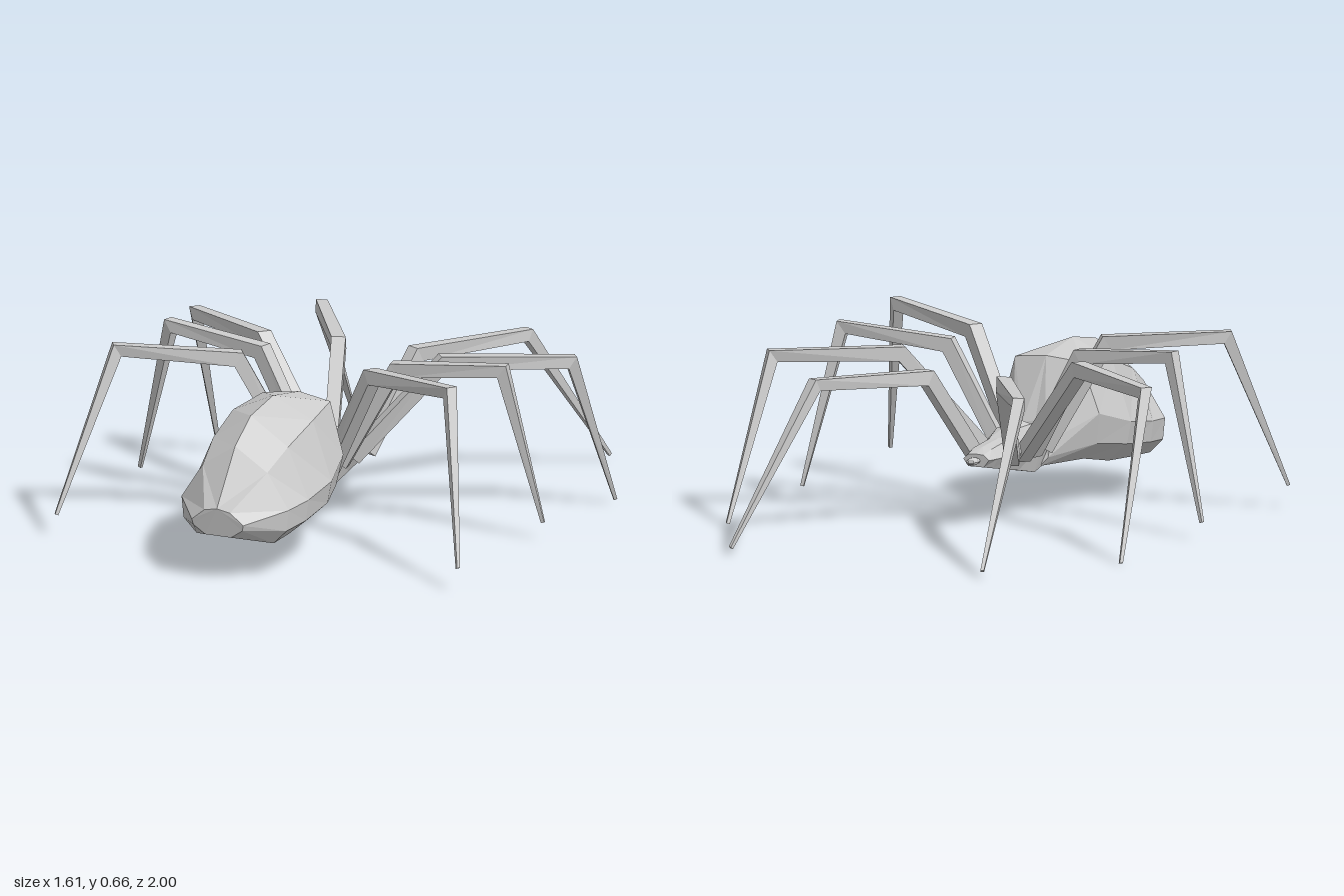
import * as THREE from 'three';

const material = new THREE.MeshStandardMaterial({ color: 0xcccccc, flatShading: true });

// Skin a list of closed rings (arrays of Vector3) and cap both ends.
function loft(name, rings) {
  const n = rings[0].length, last = rings.length - 1, pos = [];
  const tri = (...pts) => pts.forEach((p) => pos.push(p.x, p.y, p.z));
  for (let i = 0; i < last; i++) {
    for (let j = 0; j < n; j++) {
      const k = (j + 1) % n;
      const a = rings[i][j], b = rings[i][k], c = rings[i + 1][k], d = rings[i + 1][j];
      // diagonals mirror from one half to the other
      if (j < n / 2) { tri(a, d, b); tri(d, c, b); } else { tri(a, d, c); tri(a, c, b); }
    }
  }
  for (let j = 1; j < n - 1; j++) {
    tri(rings[0][0], rings[0][j], rings[0][j + 1]);
    tri(rings[last][0], rings[last][j + 1], rings[last][j]);
  }
  const geo = new THREE.BufferGeometry();
  geo.setAttribute('position', new THREE.Float32BufferAttribute(pos, 3));
  geo.computeVertexNormals();
  const mesh = new THREE.Mesh(geo, material);
  mesh.name = name;
  return mesh;
}

// Symmetric body ring: z at top and bottom, then half outline [x, y] from top centre down.
function bodyRing([zTop, zBottom, ...half]) {
  const right = half.map(([x, y], i) =>
    new THREE.Vector3(x, y, zTop + (zBottom - zTop) * i / (half.length - 1)));
  const left = right.slice(1).reverse().map((p) => new THREE.Vector3(-p.x, p.y, p.z));
  return [...right, ...left];
}

// Square-section tapering leg with mitred knees.
function leg(name, points) {
  const halfWidths = [0.024, 0.025, 0.02, 0.006];
  const p = points.map((q) => new THREE.Vector3(...q));
  const dirs = p.slice(1).map((q, i) => q.clone().sub(p[i]).normalize());
  const side = new THREE.Vector3(0, 1, 0).cross(p[3].clone().sub(p[0])).normalize();
  const rings = p.map((q, i) => {
    const d0 = dirs[Math.max(i - 1, 0)], d1 = dirs[Math.min(i, 2)];
    const t = d0.clone().add(d1).normalize();
    const up = t.clone().cross(side).normalize();
    const w = halfWidths[i], h = w / t.dot(d0);
    return [[1, 1], [1, -1], [-1, -1], [-1, 1]].map(([s, u]) =>
      q.clone().addScaledVector(side, s * w).addScaledVector(up, u * h));
  });
  return loft(name, rings);
}

export function createModel() {
  const model = new THREE.Group();

  // Abdomen
  model.add(loft('abdomen', [
    [0.29, 0.24, [0, 0.32], [0.045, 0.31], [0.075, 0.26], [0.07, 0.2], [0.045, 0.17]],
    [0.37, 0.44, [0, 0.535], [0.13, 0.52], [0.19, 0.34], [0.17, 0.23], [0.11, 0.17]],
    [0.57, 0.57, [0, 0.57], [0.155, 0.5], [0.228, 0.29], [0.212, 0.21], [0.14, 0.145]],
    [0.74, 0.74, [0, 0.54], [0.145, 0.445], [0.225, 0.265], [0.215, 0.19], [0.15, 0.135]],
    [0.86, 0.86, [0, 0.46], [0.125, 0.38], [0.208, 0.255], [0.2, 0.18], [0.15, 0.13]],
    [1.0, 0.99, [0, 0.27], [0.05, 0.26], [0.1, 0.22], [0.095, 0.2], [0.05, 0.17]],
  ].map(bodyRing)));

  // Thorax and head
  model.add(loft('thorax', [
    [-0.15, -0.15, [0, 0.27], [0.03, 0.268], [0.05, 0.25], [0.03, 0.225]],
    [-0.1, -0.1, [0, 0.288], [0.035, 0.282], [0.06, 0.25], [0.04, 0.215]],
    [0.02, 0, [0, 0.3], [0.035, 0.295], [0.075, 0.25], [0.045, 0.195]],
    [0.07, 0.08, [0, 0.335], [0.035, 0.325], [0.075, 0.25], [0.045, 0.18]],
    [0.19, 0.2, [0, 0.335], [0.035, 0.325], [0.072, 0.25], [0.045, 0.155]],
    [0.25, 0.26, [0, 0.31], [0.035, 0.305], [0.07, 0.25], [0.045, 0.17]],
    [0.32, 0.32, [0, 0.31], [0.045, 0.305], [0.08, 0.25], [0.045, 0.175]],
  ].map(bodyRing)));

  // Small mouthpart at the tip of the head
  const mouth = new THREE.Mesh(new THREE.SphereGeometry(0.022, 8, 6), material);
  mouth.name = 'mouthpart';
  mouth.scale.set(1, 0.6, 1.6);
  mouth.position.set(0, 0.247, -0.172);
  model.add(mouth);

  // Legs: hip, first knee, then second knee and foot for each side (+x, -x)
  const legs = {
    headLeg: [[0.07, 0.23, -0.01], [0.15, 0.54, -0.23],
      [[0.4, 0.55, -0.59], [0.515, 0.03, -0.995]], [[-0.4, 0.55, -0.59], [-0.47, 0.03, -0.995]]],
    frontMiddleLeg: [[0.06, 0.23, 0.08], [0.35, 0.58, -0.045],
      [[0.735, 0.575, -0.27], [0.775, 0.02, -0.525]], [[-0.725, 0.565, -0.27], [-0.765, 0.008, -0.525]]],
    rearMiddleLeg: [[0.06, 0.23, 0.16], [0.26, 0.59, 0.14],
      [[0.655, 0.625, 0.1], [0.765, 0.07, 0.01]], [[-0.635, 0.625, 0.1], [-0.8, 0.07, 0.01]]],
    abdomenLeg: [[0.06, 0.23, 0.25], [0.26, 0.61, 0.325],
      [[0.65, 0.645, 0.495], [0.8, 0.09, 0.73]], [[-0.645, 0.635, 0.495], [-0.76, 0.085, 0.73]]],
  };
  for (const [name, [hip, knee, leftEnd, rightEnd]] of Object.entries(legs)) {
    const mirror = ([x, y, z]) => [-x, y, z];
    model.add(leg(name + 'Left', [hip, knee, ...leftEnd]));
    model.add(leg(name + 'Right', [mirror(hip), mirror(knee), ...rightEnd]));
  }
  return model;
}
